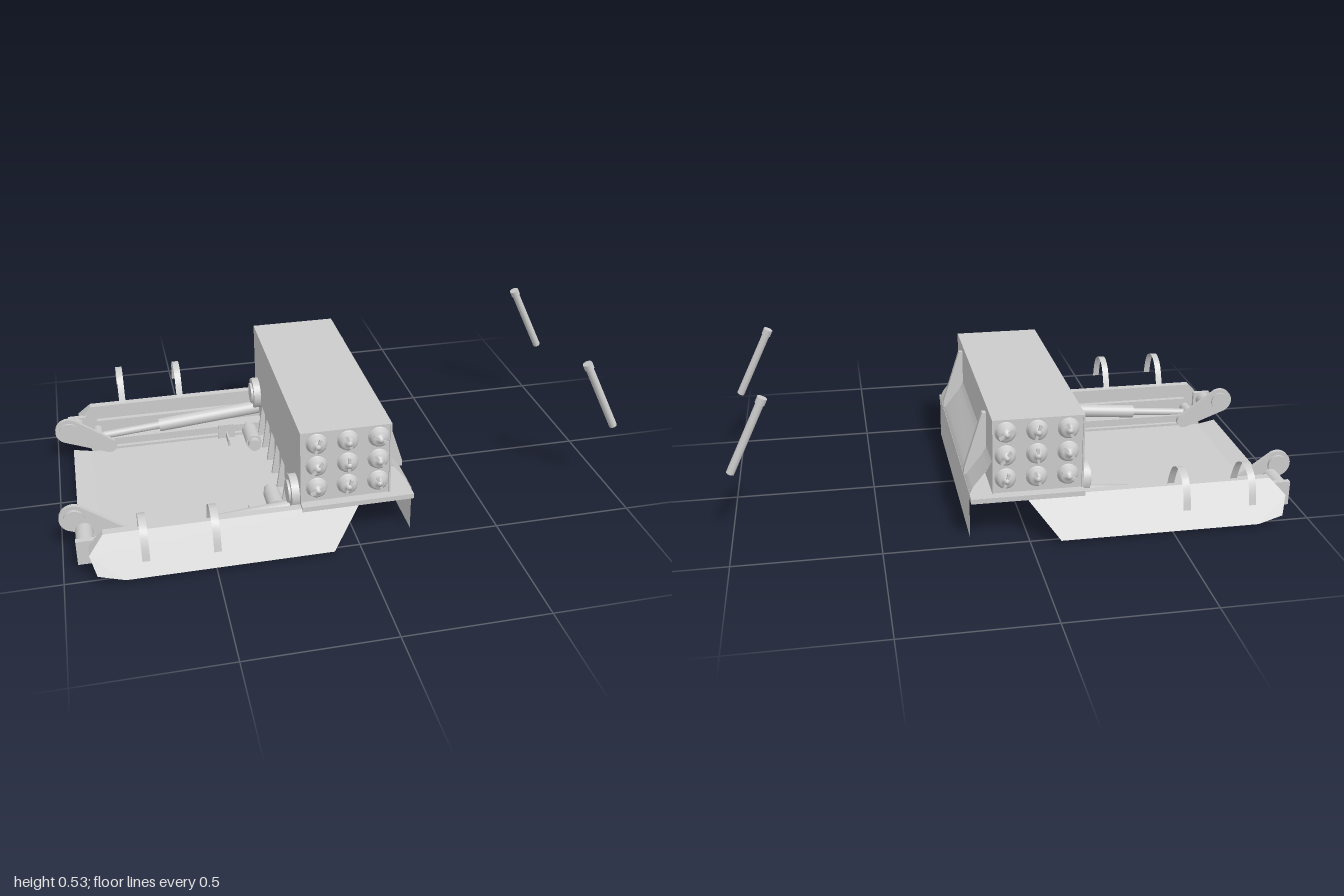
import * as THREE from 'three';

const mat = new THREE.MeshStandardMaterial({ color: 0xcccccc, side: THREE.DoubleSide });

export function createModel() {
  const root = new THREE.Group();

  const add = (name, geo, parent = root) => {
    const m = new THREE.Mesh(geo, mat);
    m.name = name;
    parent.add(m);
    return m;
  };
  // box given by its min and max corners
  const box = (name, a, b, parent) => {
    const m = add(name, new THREE.BoxGeometry(b[0] - a[0], b[1] - a[1], b[2] - a[2]), parent);
    m.position.set((a[0] + b[0]) / 2, (a[1] + b[1]) / 2, (a[2] + b[2]) / 2);
    return m;
  };
  // cylinder between two points
  const rod = (name, a, b, r, parent, r2 = r) => {
    const p = new THREE.Vector3(...a), q = new THREE.Vector3(...b), d = q.clone().sub(p);
    const m = add(name, new THREE.CylinderGeometry(r2, r, d.length(), 24), parent);
    m.position.copy(p).add(q).multiplyScalar(0.5);
    m.quaternion.setFromUnitVectors(new THREE.Vector3(0, 1, 0), d.normalize());
    return m;
  };
  // xy outline extruded from z0 to z1
  const plate = (name, pts, z0, z1, parent) => {
    const shape = new THREE.Shape(pts.map(p => new THREE.Vector2(...p)));
    const g = new THREE.ExtrudeGeometry(shape, { depth: z1 - z0, bevelEnabled: false });
    return add(name, g.translate(0, 0, z0), parent);
  };
  // open sheet swept along one axis from a 2D line; map turns (u, v, t) into xyz
  const sheet = (name, line, t0, t1, map, parent) => {
    const g = new THREE.PlaneGeometry(1, 1, line.length - 1, 1);
    const pos = g.attributes.position, n = line.length;
    for (let i = 0; i < n; i++) {
      pos.setXYZ(i, ...map(line[i][0], line[i][1], t0));
      pos.setXYZ(i + n, ...map(line[i][0], line[i][1], t1));
    }
    g.computeVertexNormals();
    return add(name, g, parent);
  };

  // floor pan with a lifted rear lip
  plate('floorPan', [[-0.94, 0.03], [-0.87, 0.005], [-0.1, 0.005], [-0.1, 0.022], [-0.87, 0.022], [-0.94, 0.036]], -0.32, 0.32);

  // full-width ramp closing the end of the tray, rounded at the bottom
  plate('endRamp', [[-0.15, 0.005], [-0.115, 0.005], [-0.1, 0.01], [-0.088, 0.02], [0.015, 0.155],
    [-0.005, 0.155], [-0.105, 0.024], [-0.15, 0.022]], -0.44, 0.44);

  // launcher housing, carrying tray and flared flap
  box('launcherHousing', [-0.195, 0.165, -0.44], [0.12, 0.435, 0.44]);
  box('housingTray', [-0.195, 0.147, -0.475], [0.197, 0.165, 0.475]);
  sheet('upperFlap', [[0.121, 0.435], [0.121, 0.285]], -0.44, 0.44, (x, y, z) => [x, y, z]);
  sheet('flaredFlap', [[0.121, 0.285], [0.135, 0.258], [0.185, 0.195], [0.197, 0.17]], -0.44, 0.44, (x, y, z) => [x, y, z]);
  sheet('hangingFlap', [[0.198, 0.17], [0.198, 0.002]], -0.44, 0.44, (x, y, z) => [x, y, z]);

  // bulkhead below the housing, with ribs
  box('bulkhead', [-0.185, 0.02, -0.44], [-0.17, 0.15, 0.44]);
  for (let i = -3; i <= 3; i++) {
    plate('bulkheadRib', [[-0.18, 0.02], [-0.215, 0.02], [-0.195, 0.147], [-0.18, 0.147]], i * 0.1 - 0.006, i * 0.1 + 0.006);
  }

  // screw cap: flange, dome, hub and turning bar, pointing to +z
  const capProfile = [[0, 0], [0.037, 0], [0.037, 0.006], [0.031, 0.008], [0.031, 0.02],
    [0.022, 0.026], [0.009, 0.028], [0.009, 0.038], [0, 0.04]];
  const capGeo = new THREE.LatheGeometry(capProfile.map(p => new THREE.Vector2(...p)), 28).rotateX(Math.PI / 2);

  // both sides, built for +z and mirrored
  for (const s of [1, -1]) {
    const side = new THREE.Group();
    side.name = s > 0 ? 'frontSide' : 'backSide';
    side.scale.z = s;
    root.add(side);

    // sloping side skirt: outer face leans out toward the bottom
    const outline = [[-0.86, 0.155], [0.01, 0.155], [-0.1, 0.02], [-0.8, 0.02], [-0.89, 0.04], [-0.91, 0.1]];
    const skirt = plate('sideSkirt', outline, 0, 1, side);
    const p = skirt.geometry.attributes.position;
    for (let i = 0; i < p.count; i++) {
      p.setZ(i, p.getZ(i) > 0.5 ? 0.465 + (0.155 - p.getY(i)) * 0.6 : 0.435);
    }
    skirt.geometry.computeVertexNormals();

    // side channel with rails
    box('outerRail', [-0.87, 0.005, 0.405], [-0.14, 0.03, 0.44], side);
    box('channelBase', [-0.87, 0.026, 0.31], [-0.14, 0.036, 0.44], side);
    box('channelRail', [-0.86, 0.008, 0.35], [-0.14, 0.03, 0.365], side);
    box('innerRail', [-0.84, 0.03, 0.325], [-0.2, 0.065, 0.335], side);
    box('upperRail', [-0.84, 0.08, 0.415], [-0.2, 0.1, 0.437], side);

    // lifting ram
    rod('ramBarrel', [-0.6, 0.075, 0.375], [-0.2, 0.11, 0.375], 0.026, side);
    rod('ramPiston', [-0.9, 0.05, 0.375], [-0.6, 0.075, 0.375], 0.015, side);
    rod('ramFoot', [-0.84, 0.06, 0.33], [-0.84, 0.06, 0.42], 0.02, side);

    // rear hinge: cross roller, arm and boss
    rod('hingeRoller', [-0.92, 0.09, 0.33], [-0.92, 0.09, 0.435], 0.03, side);
    box('hingeBlock', [-0.95, 0.03, 0.42], [-0.88, 0.12, 0.44], side);
    const arm = new THREE.Shape();
    arm.absarc(0, 0, 0.05, Math.PI / 2, Math.PI * 1.5);
    arm.lineTo(0.17, -0.028);
    arm.absarc(0.17, 0, 0.028, -Math.PI / 2, Math.PI / 2);
    const armMesh = add('hingeArm', new THREE.ExtrudeGeometry(arm, { depth: 0.016, bevelEnabled: false, curveSegments: 16 }), side);
    armMesh.position.set(-0.95, 0.13, 0.298);
    armMesh.rotation.z = -0.5;
    rod('hingeBoss', [-0.95, 0.13, 0.29], [-0.95, 0.13, 0.325], 0.036, side);

    // pivot disc against the housing
    rod('pivotDisc', [-0.222, 0.175, 0.375], [-0.19, 0.175, 0.375], 0.06, side);
    rod('pivotHub', [-0.23, 0.175, 0.375], [-0.222, 0.175, 0.375], 0.04, side);

    // small drive motor and bracket on the floor
    rod('motorBody', [-0.25, 0.055, 0.185], [-0.25, 0.055, 0.29], 0.03, side);
    rod('motorCap', [-0.25, 0.055, 0.16], [-0.25, 0.055, 0.185], 0.024, side);
    rod('motorShaft', [-0.25, 0.055, 0.29], [-0.25, 0.055, 0.33], 0.016, side);
    plate('floorBracket', [[-0.375, 0.02], [-0.305, 0.02], [-0.31, 0.08], [-0.37, 0.08]], 0.305, 0.313, side);
    box('bracketWeb', [-0.343, 0.02, 0.235], [-0.337, 0.05, 0.31], side);

    // arched straps
    const arch = new THREE.SplineCurve([[0.632, 0.145], [0.62, 0.195], [0.594, 0.24], [0.545, 0.26],
      [0.497, 0.243], [0.468, 0.205], [0.445, 0.15]].map(q => new THREE.Vector2(...q)))
      .getPoints(24).map(q => [q.x, q.y]);
    for (const x of [-0.733, -0.505]) {
      sheet('strap', arch, x - 0.0125, x + 0.0125, (z, y, t) => [t, y, z], side);
    }

    // end frame and tube caps
    box('endFrameTop', [-0.195, 0.429, 0.44], [0.12, 0.435, 0.446], side);
    box('endFrameLeft', [-0.195, 0.165, 0.44], [-0.189, 0.435, 0.446], side);
    box('endFrameRight', [0.114, 0.165, 0.44], [0.12, 0.435, 0.446], side);
    [-0.139, -0.032, 0.075].forEach((x, i) => [0.22, 0.305, 0.39].forEach((y, j) => {
      const cap = new THREE.Group();
      cap.name = 'tubeCap';
      cap.position.set(x, y, 0.438);
      cap.rotation.z = 0.5 + (i * 2 + j) * 0.35;
      side.add(cap);
      add('capBody', capGeo, cap);
      box('capBar', [-0.028, -0.005, 0.026], [0.028, 0.005, 0.034], cap);
    }));

    // flap gusset and its end cheek
    plate('flapGusset', [[0.12, 0.41], [0.135, 0.41], [0.2, 0.205], [0.2, 0.185], [0.12, 0.185]], 0.296, 0.316, side);

    // detached pole ahead of the flap
    rod('pole', [0.982, 0.27, 0.356], [0.862, 0.515, 0.347], 0.014, side);
    rod('poleCap', [0.866, 0.507, 0.347], [0.856, 0.528, 0.346], 0.017, side);
  }
  return root;
}
